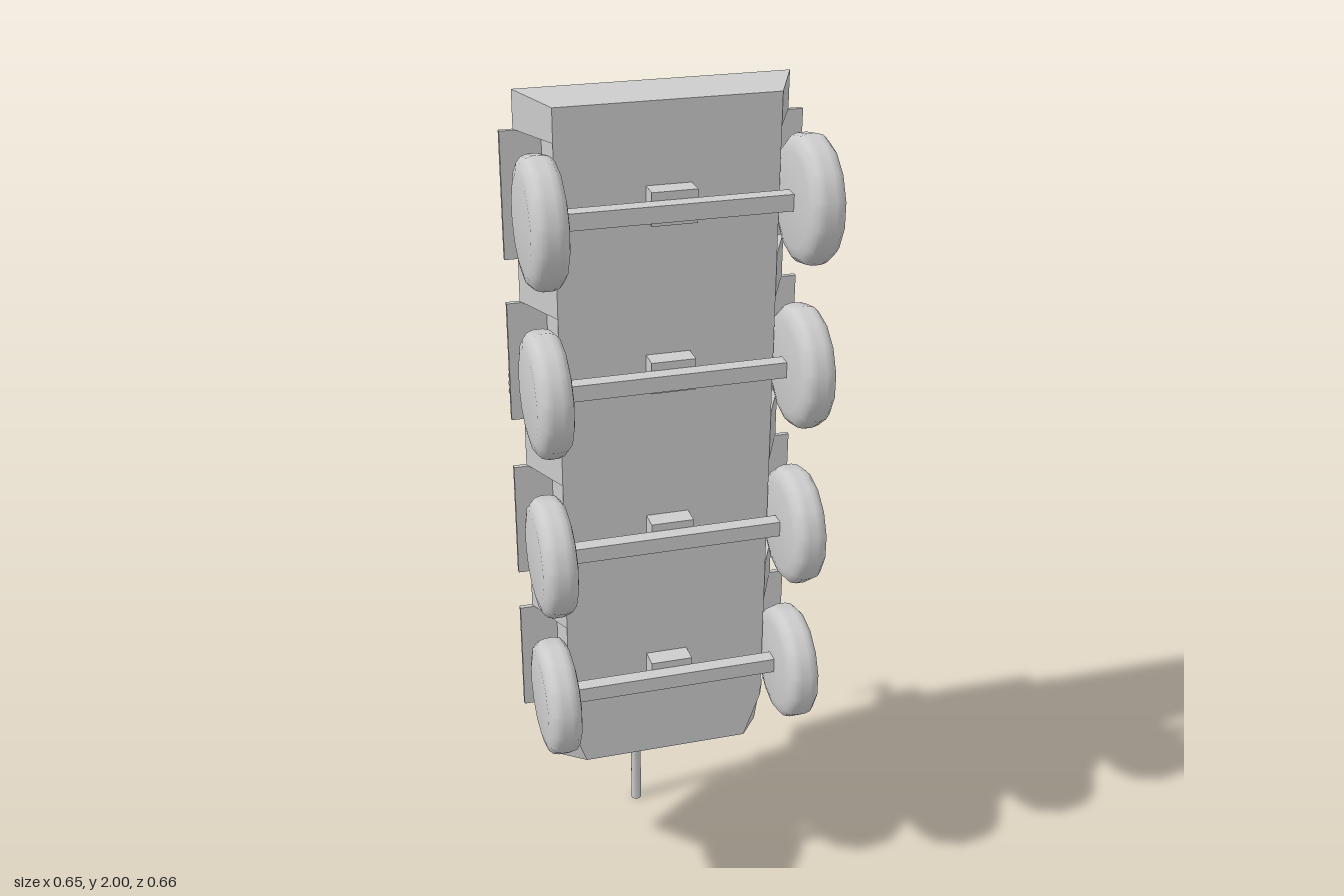
import * as THREE from 'three';
import { toCreasedNormals } from 'three/addons/utils/BufferGeometryUtils.js';

// The vehicle stands on its gun muzzle: forward is -y, its roof faces -z.
export function createModel() {
  const model = new THREE.Group();
  const grey = new THREE.MeshStandardMaterial({ color: 0xcccccc });
  grey.name = 'plain grey';

  function add(name, geometry, x = 0, y = 0, z = 0) {
    const mesh = new THREE.Mesh(geometry, grey);
    mesh.name = name;
    mesh.position.set(x, y, z);
    model.add(mesh);
    return mesh;
  }

  // Box given by its limits on each axis
  function box(name, x0, x1, y0, y1, z0, z1) {
    return add(name, new THREE.BoxGeometry(x1 - x0, y1 - y0, z1 - z0),
      (x0 + x1) / 2, (y0 + y1) / 2, (z0 + z1) / 2);
  }

  // Lathe with sharp edges kept
  function turned(profile, sides) {
    const points = profile.map(([r, h]) => new THREE.Vector2(r, h));
    return toCreasedNormals(new THREE.LatheGeometry(points, sides), 0.6);
  }

  // Symmetric flat-shaded loft; each section lists its +x half from belly to roof
  function loft(sections) {
    const out = [];
    const tri = (a, b, c) => out.push(...a, ...b, ...c);
    const quad = (a, b, c, d) => { tri(a, b, c); tri(a, c, d); };
    const flip = ([x, y, z]) => [-x, y, z];
    const rings = sections.map((s) => [...s, ...s.map(flip).reverse()]);
    for (let k = 0; k + 1 < rings.length; k++) {
      const a = rings[k], b = rings[k + 1];
      for (let i = 0; i < a.length; i++) {
        const j = (i + 1) % a.length;
        quad(a[i], a[j], b[j], b[i]);
      }
    }
    const first = sections[0], last = sections[sections.length - 1];
    for (let i = 0; i + 1 < first.length; i++) {
      quad(flip(first[i]), flip(first[i + 1]), first[i + 1], first[i]);
      quad(last[i], last[i + 1], flip(last[i + 1]), flip(last[i]));
    }
    const geometry = new THREE.BufferGeometry();
    geometry.setAttribute('position', new THREE.Float32BufferAttribute(out, 3));
    geometry.computeVertexNormals();
    return geometry;
  }

  // Hull with four wheel wells cut into each lower side
  const wheelY = [0.635, 1.01, 1.405, 1.78];
  const solid = (yb, ym, yt) => [
    [0.24, yb, 0.13], [0.297, ym, 0.007], [0.297, ym, 0.007], [0.272, yt, -0.107]];
  const well = (yb, ym, yt) => [
    [0.24, yb, 0.13], [0.24, yb, 0.01], [0.297, ym, 0.007], [0.272, yt, -0.107]];
  const hull = [
    [[0.2, 0.385, 0.13], [0.27, 0.335, 0.007], [0.27, 0.335, 0.007], [0.248, 0.555, -0.107]],
    solid(0.5, 0.535, 0.65)];
  wheelY.forEach((y, i) => {
    const a = y - 0.138, b = y + 0.138;
    if (i === 0) {
      hull.push(well(0.5, 0.535, 0.65));
    } else {
      hull.push(solid(a, a, a), well(a, a, a));
    }
    hull.push(well(b, b, b), solid(b, b, b));
  });
  hull.push(solid(1.99, 2, 1.95));
  add('hull', loft(hull));

  // Wheels, fenders and axles
  const tyre = turned([[0, -0.039], [0.1, -0.039], [0.122, -0.034], [0.133, -0.024], [0.137, -0.01],
    [0.137, 0.01], [0.133, 0.024], [0.122, 0.034], [0.1, 0.039], [0, 0.039]], 14);
  tyre.rotateY(Math.PI / 2).rotateZ(Math.PI / 2);
  for (const y of wheelY) {
    for (const side of [-1, 1]) {
      add('wheel', tyre, side * 0.283, y, 0.193);
      const fender = box('fender', 0.24, 0.327, y - 0.138, y + 0.138, 0.004, 0.015);
      fender.position.x *= side;
    }
    box('axle', -0.247, 0.247, y - 0.018, y + 0.018, 0.175, 0.209);
    box('axleMount', -0.049, 0.049, y - 0.036, y + 0.036, 0.128, 0.176);
  }

  // Deck details
  box('driverHatch', -0.07, 0.07, 0.645, 0.75, -0.114, -0.105);
  for (const y of [1.74, 1.805, 1.87]) {
    box('engineVent', -0.19, 0.19, y - 0.004, y + 0.004, -0.111, -0.105);
  }

  // Turret
  add('turretRing', new THREE.CylinderGeometry(0.203, 0.203, 0.026, 32).rotateX(Math.PI / 2), 0, 1.107, -0.118);
  add('turret', loft([
    [[0.23, 0.83, -0.13], [0.2, 0.872, -0.232]],
    [[0.25, 1.305, -0.13], [0.217, 1.285, -0.232]]]));
  box('gunMantlet', -0.08, 0.08, 0.795, 0.9, -0.215, -0.132);

  // Main gun, muzzle at y = 0
  add('gunBarrel', turned([[0, 0], [0.013, 0], [0.013, 0.445], [0.025, 0.465], [0.025, 0.565],
    [0.015, 0.6], [0.015, 0.65], [0.019, 0.8], [0, 0.8]], 16), 0, 0, -0.168);

  // Roof hatches and cupola
  box('roofHatch', 0.03, 0.145, 1.09, 1.21, -0.243, -0.23);
  box('cupolaBase', -0.14, -0.015, 1.085, 1.21, -0.243, -0.23);
  add('cupola', new THREE.CylinderGeometry(0.059, 0.055, 0.032, 20).rotateX(Math.PI / 2), -0.083, 1.15, -0.258);

  // Roof machine gun
  box('machineGunPost', -0.092, -0.077, 1.112, 1.13, -0.317, -0.27);
  box('machineGunBody', -0.096, -0.073, 1.08, 1.14, -0.329, -0.313);
  add('machineGunBarrel', new THREE.CylinderGeometry(0.004, 0.004, 0.085, 8), -0.084, 1.04, -0.32);

  // Smoke launchers on the turret sides
  for (const side of [-1, 1]) {
    const plate = box('launcherPlate', 0.22, 0.299, 1.225, 1.3, -0.157, -0.146);
    plate.position.x *= side;
    for (let row = 0; row < 3; row++) {
      for (const x of [0.26, 0.281]) {
        const tube = add('smokeTube', new THREE.CylinderGeometry(0.009, 0.009, 0.048, 10),
          side * x, 1.243 + row * 0.02, -0.178);
        tube.quaternion.setFromUnitVectors(new THREE.Vector3(0, 1, 0),
          new THREE.Vector3(side * 0.22, -0.25, -1).normalize());
      }
    }
  }
  return model;
}
